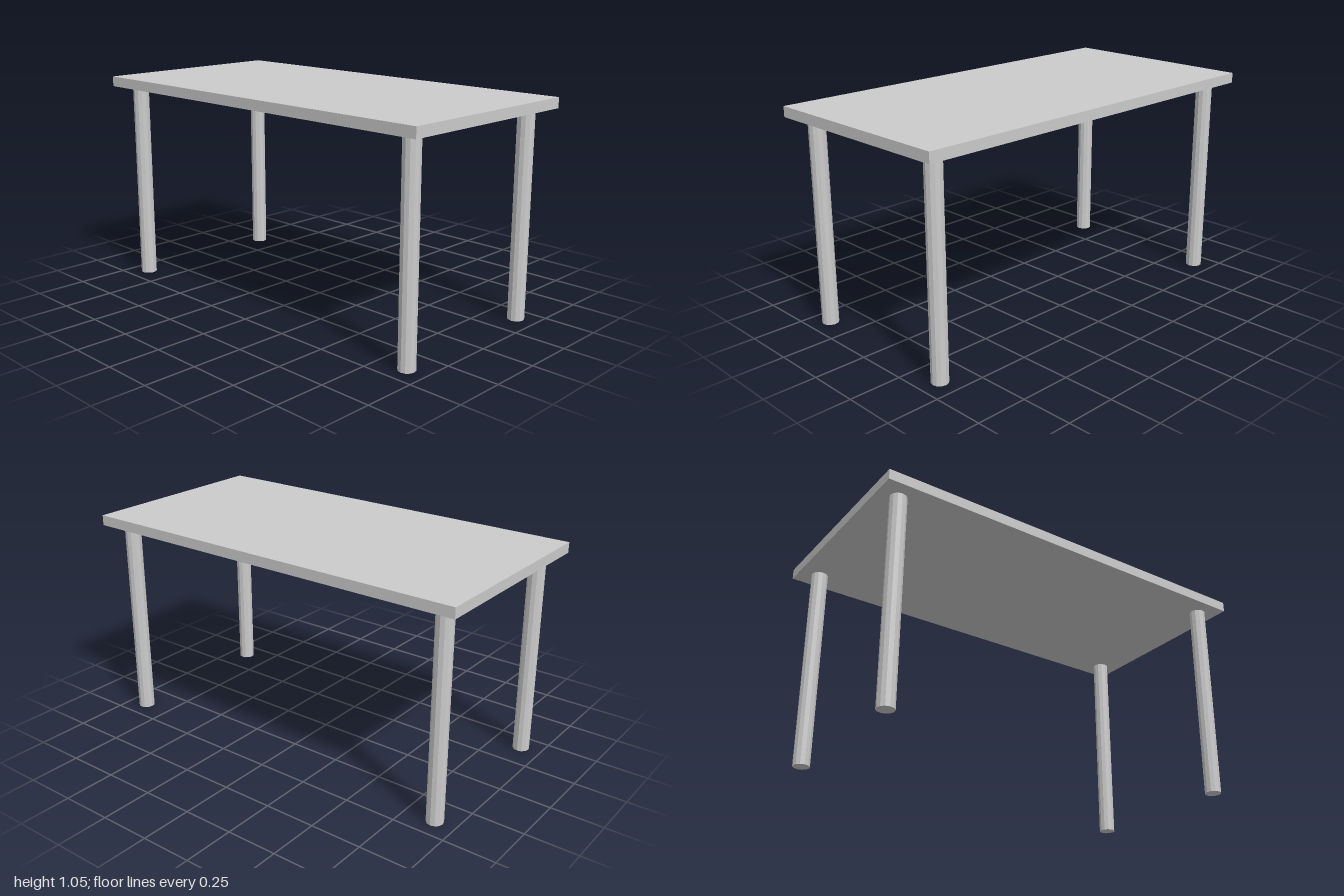
import * as THREE from 'three';

export function createModel() {
  const table = new THREE.Group();
  table.name = 'table';
  const material = new THREE.MeshStandardMaterial({ color: 0xcccccc, flatShading: true });

  const topThickness = 0.05;
  const legHeight = 1;

  // Rectangular slab resting on the legs
  const tableTop = new THREE.Mesh(new THREE.BoxGeometry(1, topThickness, 2), material);
  tableTop.name = 'tableTop';
  tableTop.position.y = legHeight + topThickness / 2;
  table.add(tableTop);

  // Four twelve-sided legs, inset from the corners
  const legGeometry = new THREE.CylinderGeometry(0.04, 0.04, legHeight, 12);
  for (const [zName, z] of [['front', 0.9], ['back', -0.9]]) {
    for (const [xName, x] of [['Left', 0.4], ['Right', -0.4]]) {
      const leg = new THREE.Mesh(legGeometry, material);
      leg.name = `${zName}${xName}Leg`;
      leg.position.set(x, legHeight / 2, z);
      table.add(leg);
    }
  }
  return table;
}
